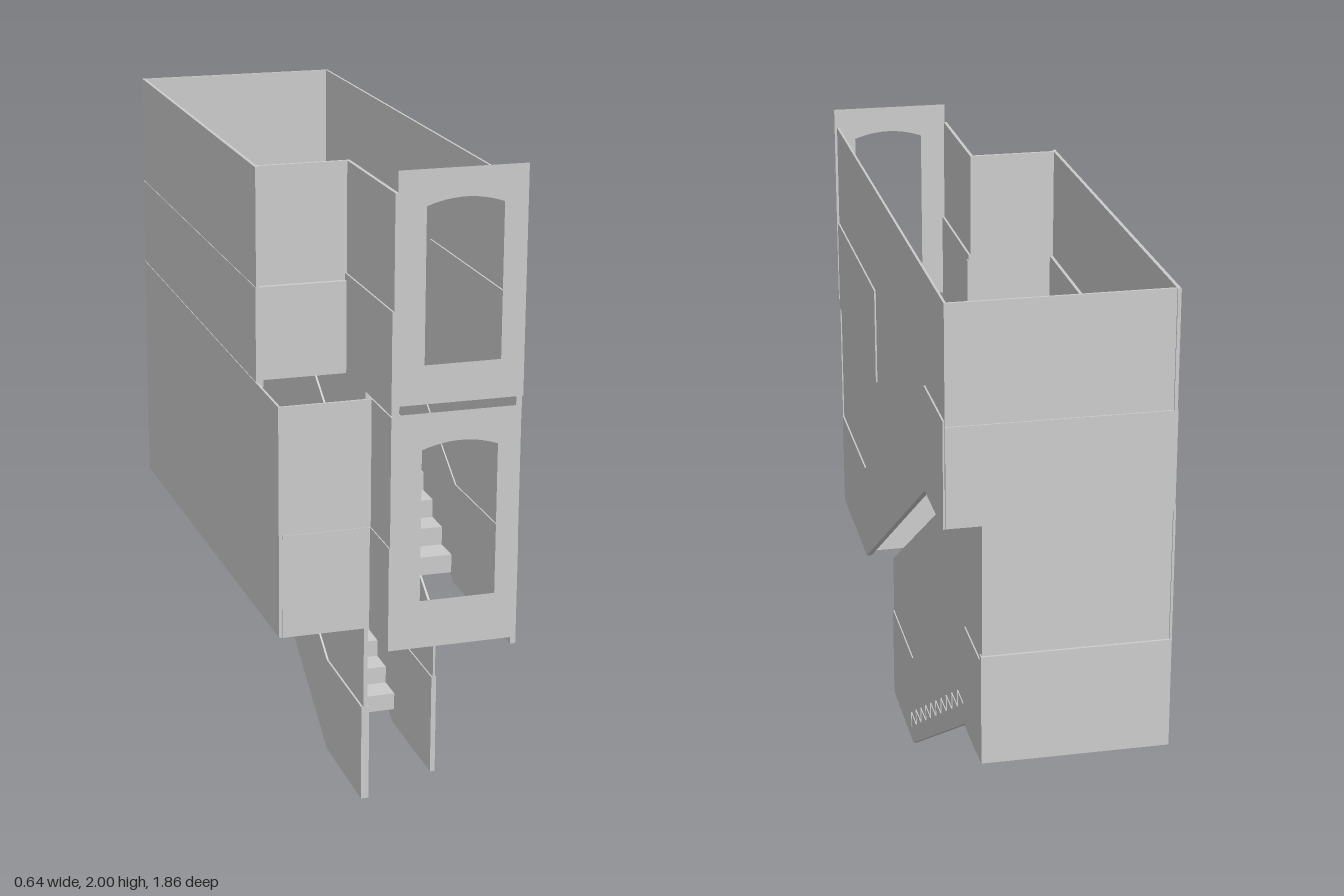
import * as THREE from 'three';

const grey = new THREE.MeshStandardMaterial({ color: 0xcccccc, side: THREE.DoubleSide });

export function createModel() {
  const group = new THREE.Group();
  group.name = 'stairwell';

  const add = (name, geometry) => {
    const mesh = new THREE.Mesh(geometry, grey);
    mesh.name = name;
    group.add(mesh);
  };

  // Box given by its limits
  const box = (name, x0, x1, y0, y1, z0, z1) => {
    const g = new THREE.BoxGeometry(x1 - x0, y1 - y0, z1 - z0);
    add(name, g.translate((x0 + x1) / 2, (y0 + y1) / 2, (z0 + z1) / 2));
  };

  // Wall facing sideways: outline in [z, y], thickness from x0 to x1
  const sideWall = (name, x0, x1, outline) => {
    const shape = new THREE.Shape(outline.map(([z, y]) => new THREE.Vector2(-z, y)));
    const g = new THREE.ExtrudeGeometry(shape, { depth: x1 - x0, bevelEnabled: false });
    add(name, g.rotateY(Math.PI / 2).translate(x0, 0, 0));
  };

  // Wainscot band that follows the bottom line of a wall
  const band = (name, x0, x1, line, h) =>
    sideWall(name, x0, x1, [...line, ...line.map(([z, y]) => [z, y + h]).reverse()]);

  // Outer wall beside the upper flight
  const upperLine = [[0.93, 0.625], [0.45, 0.625], [-0.64, 1.305], [-0.915, 1.305]];
  sideWall('upperOuterWall', 0.307, 0.314, [...upperLine, [-0.915, 1.94], [0.93, 1.94]]);
  band('upperFlightWainscot', 0.303, 0.319, upperLine, 0.31);
  box('upperFloorWainscot', 0.302, 0.319, 1.325, 1.62, 0.19, 0.93);

  // Outer wall beside the lower flight
  const lowerLine = [[0.55, 0.06], [0.18, 0.06], [-0.69, 0.59], [-0.92, 0.59]];
  sideWall('lowerOuterWall', 0.208, 0.215,
    [...lowerLine, [-0.92, 1.305], [-0.64, 1.305], [0.55, 0.56]]);
  band('lowerFlightWainscot', 0.204, 0.219, lowerLine, 0.31);

  // Dividing wall between flights and corridor
  const dividerLine = [[0.55, 0], [0.19, 0], [-0.7, 0.545]];
  sideWall('dividingWall', -0.008, 0.004, [...dividerLine, [-0.7, 1.33], [0.55, 1.33]]);
  band('dividerLowerWainscot', -0.014, 0.01, dividerLine, 0.3);
  band('dividerUpperWainscot', -0.014, 0.01,
    [[0.56, 0.585], [0.5, 0.6], [-0.64, 1.305], [-0.7, 1.305]], 0.31);

  // Corridor walls, upper storey
  box('upperCorridorWall', -0.318, -0.308, 1.59, 1.94, -0.925, 0.515);
  box('upperCorridorWainscot', -0.32, -0.298, 1.31, 1.6, -0.925, 0.515);
  box('upperBackWall', -0.318, 0.314, 1.59, 1.94, -0.92, -0.912);
  box('upperBackWainscot', -0.318, 0.314, 1.31, 1.6, -0.925, -0.903);
  box('upperReturnWall', -0.318, -0.04, 1.59, 1.94, 0.49, 0.5);
  box('upperReturnWainscot', -0.3, -0.03, 1.33, 1.6, 0.49, 0.515);
  box('upperAlcoveWall', -0.05, -0.04, 1.33, 1.94, 0.49, 0.93);
  box('upperAlcoveWainscot', -0.055, -0.033, 1.33, 1.62, 0.49, 0.93);

  // Corridor walls, lower storey
  sideWall('lowerCorridorWall', -0.322, -0.315,
    [[-0.925, 0.59], [0.755, 0.645], [0.755, 1.325], [-0.925, 1.325]]);
  band('lowerCorridorWainscot', -0.32, -0.305, [[-0.925, 0.59], [0.755, 0.645]], 0.32);
  box('lowerBackWall', -0.322, 0.215, 0.59, 1.31, -0.92, -0.913);
  box('lowerBackWainscot', -0.32, 0.219, 0.59, 0.92, -0.928, -0.905);
  box('lowerReturnWall', -0.322, -0.05, 0.645, 1.325, 0.748, 0.755);
  box('lowerReturnWainscot', -0.312, -0.04, 0.645, 0.95, 0.742, 0.757);
  box('lowerAlcoveWall', -0.055, -0.045, 0.645, 1.325, 0.748, 0.93);
  box('lowerAlcoveWainscot', -0.058, -0.04, 0.645, 0.95, 0.742, 0.93);

  // Thin front panels with arched windows
  const frontPanel = (name, x0, x1, y0, y1, wx0, wx1, wy0, wy1) => {
    const shape = new THREE.Shape([[x0, y0], [x1, y0], [x1, y1], [x0, y1]]
      .map(p => new THREE.Vector2(...p)));
    const hole = new THREE.Path();
    hole.moveTo(wx0, wy0);
    hole.lineTo(wx0, wy1 - 0.02);
    hole.quadraticCurveTo((wx0 + wx1) / 2, wy1 + 0.02, wx1, wy1 - 0.02);
    hole.lineTo(wx1, wy0);
    hole.closePath();
    shape.holes.push(hole);
    add(name, new THREE.ShapeGeometry(shape, 12).translate(0, 0, 0.93));
  };
  frontPanel('upperFrontPanel', -0.042, 0.322, 1.355, 2, 0.037, 0.255, 1.465, 1.92);
  frontPanel('lowerFrontPanel', -0.052, 0.318, 0.645, 1.33, 0.033, 0.252, 0.785, 1.245);

  // Flights as open folded sheets of risers and treads
  const flight = (name, x0, x1, zStart, zEnd, yStart, yEnd, count) => {
    const run = (zStart - zEnd) / count, rise = (yEnd - yStart) / count;
    const pos = [];
    const quad = (za, ya, zb, yb) => pos.push(
      x0, ya, za, x1, ya, za, x1, yb, zb,
      x0, ya, za, x1, yb, zb, x0, yb, zb);
    for (let i = 0; i < count; i++) {
      const z = zStart - i * run, y = yStart + i * rise;
      quad(z, y, z, y + rise);
      quad(z, y + rise, z - run, y + rise);
    }
    const g = new THREE.BufferGeometry();
    g.setAttribute('position', new THREE.Float32BufferAttribute(pos, 3));
    g.computeVertexNormals();
    add(name, g);
  };
  flight('lowerFlight', -0.012, 0.222, 0.2, -0.68, 0.11, 0.65, 10);
  flight('upperFlight', 0, 0.308, 0.43, -0.64, 0.65, 1.33, 12);

  return group;
}
